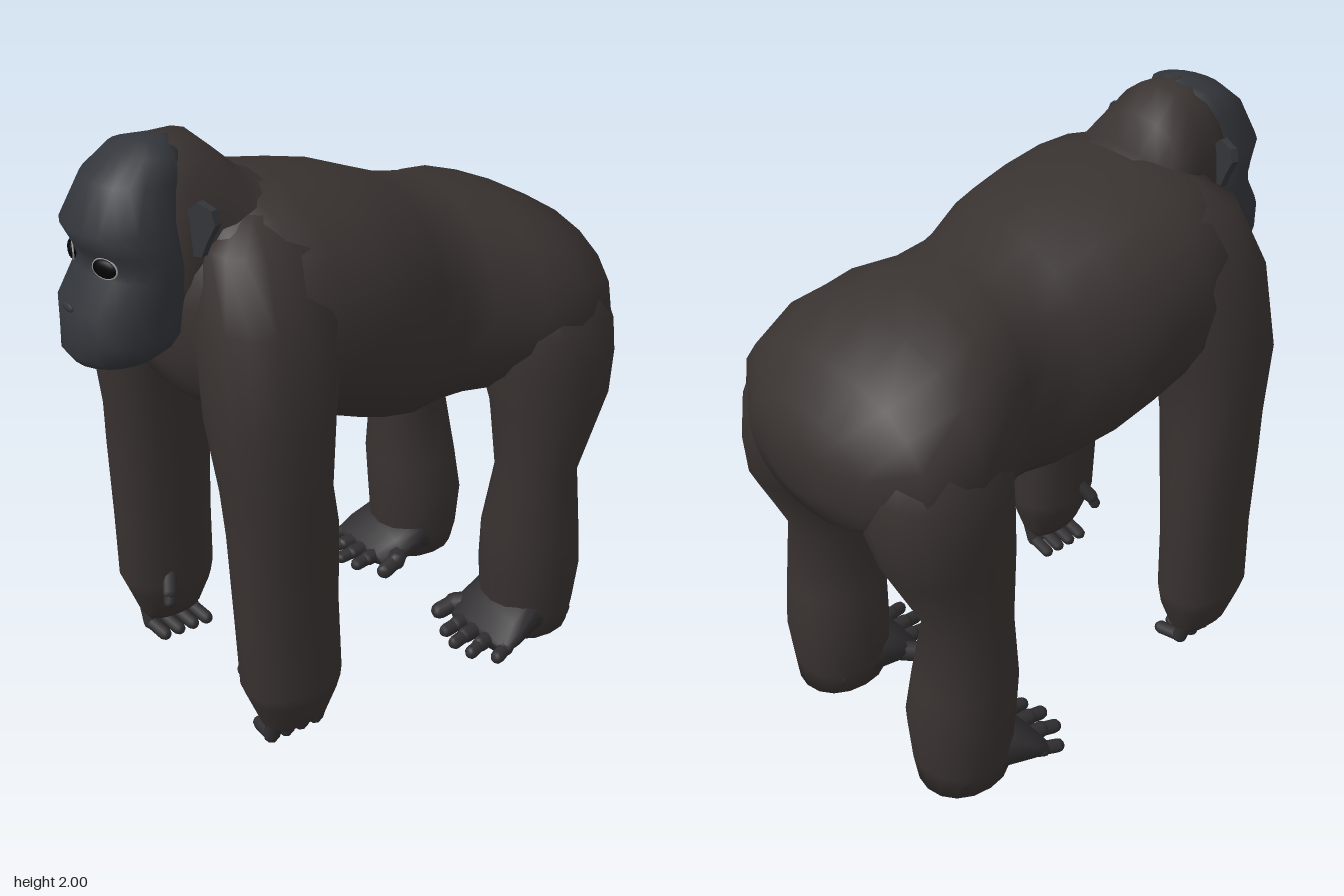
import * as THREE from 'three';

const fur = new THREE.MeshStandardMaterial({ color: 0x383230 });
const skin = new THREE.MeshStandardMaterial({ color: 0x32353a });
const darkSkin = new THREE.MeshStandardMaterial({ color: 0x302e30 });
const black = new THREE.MeshStandardMaterial({ color: 0x050505 });
const rimGrey = new THREE.MeshStandardMaterial({ color: 0x9a9a9a });

function mesh(name, geometry, material) {
  const m = new THREE.Mesh(geometry, material);
  m.name = name;
  return m;
}

// Rounded-box rings joined along an axis, with both ends closed.
// Row: [position, x0, x1, b0, b1]; b is z for axis 'y' (rows go down), y for axis 'z' (rows go forward).
function loft(axis, rows, sides = 16, power = 2.3) {
  const pos = [], index = [];
  const put = (t, x, b) => (axis === 'y' ? pos.push(x, t, b) : pos.push(x, b, t));
  const bend = (v) => Math.sign(v) * Math.abs(v) ** (2 / power);
  for (const [t, x0, x1, b0, b1] of rows) {
    for (let j = 0; j < sides; j++) {
      const a = (j / sides) * Math.PI * 2;
      put(t, (x0 + x1) / 2 + ((x1 - x0) / 2) * bend(Math.cos(a)), (b0 + b1) / 2 + ((b1 - b0) / 2) * bend(Math.sin(a)));
    }
  }
  const last = (rows.length - 1) * sides;
  for (const [t, x0, x1, b0, b1] of [rows[0], rows[rows.length - 1]]) put(t, (x0 + x1) / 2, (b0 + b1) / 2);
  const startCap = last + sides, endCap = startCap + 1;
  for (let j = 0; j < sides; j++) {
    const k = (j + 1) % sides;
    for (let i = 0; i < last; i += sides) {
      index.push(i + j, i + k, i + sides + j, i + k, i + sides + k, i + sides + j);
    }
    index.push(startCap, k, j, endCap, last + j, last + k);
  }
  const g = new THREE.BufferGeometry();
  g.setAttribute('position', new THREE.Float32BufferAttribute(pos, 3));
  g.setIndex(index);
  g.computeVertexNormals();
  return g;
}

// Symmetric loft from rows of [position, half width, b0, b1]
const centred = (axis, rows, power) => loft(axis, rows.map(([t, w, b0, b1]) => [t, -w, w, b0, b1]), 20, power);

// Finger or toe: capsules strung along a few joints
function digit(name, joints, radius) {
  const group = new THREE.Group();
  group.name = name;
  const p = joints.map((j) => new THREE.Vector3(...j));
  for (let i = 0; i + 1 < p.length; i++) {
    const dir = p[i + 1].clone().sub(p[i]);
    const m = mesh(name + 'Bone', new THREE.CapsuleGeometry(radius * (1 - 0.15 * i), dir.length(), 3, 8), darkSkin);
    m.position.copy(p[i]).add(p[i + 1]).multiplyScalar(0.5);
    m.quaternion.setFromUnitVectors(new THREE.Vector3(0, 1, 0), dir.normalize());
    group.add(m);
  }
  return group;
}

// One half of the body, built on the +x side
function createSide(name) {
  const side = new THREE.Group();
  side.name = name;

  // Arm from shoulder to knuckles
  side.add(mesh('arm', loft('y', [
    [1.78, 0.1, 0.26, 0.34, 0.48],
    [1.7, 0.08, 0.39, 0.25, 0.61],
    [1.5, 0.08, 0.5, 0.22, 0.67],
    [1.2, 0.17, 0.535, 0.29, 0.69],
    [0.95, 0.205, 0.53, 0.31, 0.655],
    [0.8, 0.235, 0.527, 0.29, 0.65],
    [0.5, 0.262, 0.515, 0.29, 0.64],
    [0.25, 0.27, 0.525, 0.285, 0.63],
    [0.2, 0.28, 0.51, 0.295, 0.61],
    [0.1, 0.32, 0.475, 0.33, 0.57],
    [0.07, 0.34, 0.45, 0.35, 0.55],
  ]), fur));

  // Curled fingers and thumb
  for (let i = 0; i < 4; i++) {
    const z = 0.363 + i * 0.058;
    side.add(digit('finger', [[0.42, 0.11, z], [0.395, 0.04, z], [0.31, 0.03, z - 0.01]], 0.028));
  }
  side.add(digit('thumb', [[0.3, 0.3, 0.5], [0.25, 0.24, 0.53], [0.24, 0.21, 0.54]], 0.026));

  side.add(mesh('leg', loft('y', [
    [1.44, 0.14, 0.34, -0.77, -0.52],
    [1.33, 0.1, 0.465, -0.86, -0.46],
    [1.2, 0.08, 0.515, -0.9, -0.43],
    [1.08, 0.08, 0.525, -0.91, -0.43],
    [0.93, 0.17, 0.52, -0.885, -0.44],
    [0.66, 0.225, 0.5, -0.75, -0.465],
    [0.42, 0.18, 0.51, -0.785, -0.44],
    [0.26, 0.16, 0.51, -0.805, -0.45],
    [0.1, 0.17, 0.495, -0.79, -0.46],
    [0.005, 0.2, 0.475, -0.78, -0.47],
  ], 16, 2.15), fur));

  // Splayed foot, big toe set apart on the inside
  side.add(mesh('foot', loft('z', [
    [-0.72, 0.2, 0.47, 0.005, 0.15],
    [-0.55, 0.17, 0.49, 0.005, 0.2],
    [-0.45, 0.17, 0.51, 0.005, 0.13],
    [-0.38, 0.21, 0.51, 0.01, 0.07],
  ]), darkSkin));
  const tips = [[0.5, -0.35], [0.425, -0.295], [0.345, -0.285], [0.27, -0.305]];
  tips.forEach(([x, z], i) => {
    const root = 0.465 - i * 0.065;
    side.add(digit('toe', [[root, 0.045, -0.43], [(root + x) / 2, 0.04, z - 0.05], [x, 0.032, z]], 0.029));
  });
  side.add(digit('bigToe', [[0.24, 0.07, -0.5], [0.175, 0.055, -0.42], [0.165, 0.038, -0.36]], 0.037));

  // Ear, swept slightly back
  const outline = new THREE.Shape([[0.16, 1.68], [0.235, 1.69], [0.265, 1.75], [0.295, 1.8], [0.28, 1.84], [0.225, 1.855], [0.16, 1.8]]
    .map((p) => new THREE.Vector2(...p)));
  const ear = mesh('ear', new THREE.ExtrudeGeometry(outline, { depth: 0.025, bevelEnabled: false }), skin);
  ear.position.z = 0.67;
  ear.rotation.y = 0.25;
  side.add(ear);

  // Eye and its pale rim
  const eye = mesh('eye', new THREE.SphereGeometry(1, 16, 10), black);
  eye.scale.set(0.043, 0.029, 0.014);
  const rim = mesh('eyeRim', new THREE.TorusGeometry(0.044, 0.003, 6, 24), rimGrey);
  rim.scale.set(1, 0.7, 1);
  for (const part of [eye, rim]) {
    part.position.set(0.1, 1.668, 0.876);
    part.rotation.y = 0.4;
    side.add(part);
  }
  return side;
}

export function createModel() {
  const model = new THREE.Group();
  model.name = 'ape';

  // Trunk from rump to chest: [z, half width, bottom, top]
  model.add(mesh('trunk', centred('z', [
    [-0.96, 0.13, 1.11, 1.31], [-0.92, 0.29, 1.02, 1.385], [-0.82, 0.455, 0.95, 1.51],
    [-0.65, 0.505, 0.92, 1.6], [-0.5, 0.47, 0.91, 1.65], [-0.36, 0.39, 0.905, 1.668],
    [-0.25, 0.38, 0.9, 1.69], [-0.14, 0.41, 0.89, 1.73], [0, 0.465, 0.93, 1.78],
    [0.15, 0.488, 0.99, 1.81], [0.3, 0.488, 1.04, 1.835], [0.42, 0.47, 1.07, 1.84],
    [0.55, 0.39, 1.12, 1.8], [0.64, 0.27, 1.2, 1.7], [0.68, 0.15, 1.3, 1.6],
  ], 2.2), fur));

  // Neck rising into the back of the skull
  model.add(mesh('neck', centred('z', [
    [0.15, 0.3, 1.3, 1.79], [0.36, 0.3, 1.3, 1.845], [0.45, 0.26, 1.32, 1.925],
    [0.54, 0.225, 1.35, 2], [0.63, 0.208, 1.38, 2], [0.7, 0.185, 1.42, 1.992],
  ], 2.15), fur));

  // Face: forehead, brow, eye hollow, muzzle and chin: [y, half width, back, front]
  model.add(mesh('face', centred('y', [
    [1.997, 0.04, 0.6, 0.7], [1.97, 0.13, 0.59, 0.77], [1.9, 0.17, 0.58, 0.86],
    [1.77, 0.2, 0.57, 0.935], [1.705, 0.205, 0.57, 0.9], [1.665, 0.206, 0.57, 0.886],
    [1.63, 0.206, 0.57, 0.892], [1.53, 0.203, 0.58, 0.958], [1.44, 0.197, 0.6, 0.958],
    [1.39, 0.17, 0.63, 0.965], [1.355, 0.13, 0.68, 0.94], [1.338, 0.08, 0.74, 0.9],
  ], 2.1), skin));

  const nose = mesh('nose', new THREE.SphereGeometry(1, 12, 8), skin);
  nose.scale.set(0.035, 0.014, 0.008);
  nose.position.set(0, 1.535, 0.953);
  model.add(nose);

  const left = createSide('leftSide');
  const right = createSide('rightSide');
  right.scale.x = -1;
  model.add(left, right);
  return model;
}
